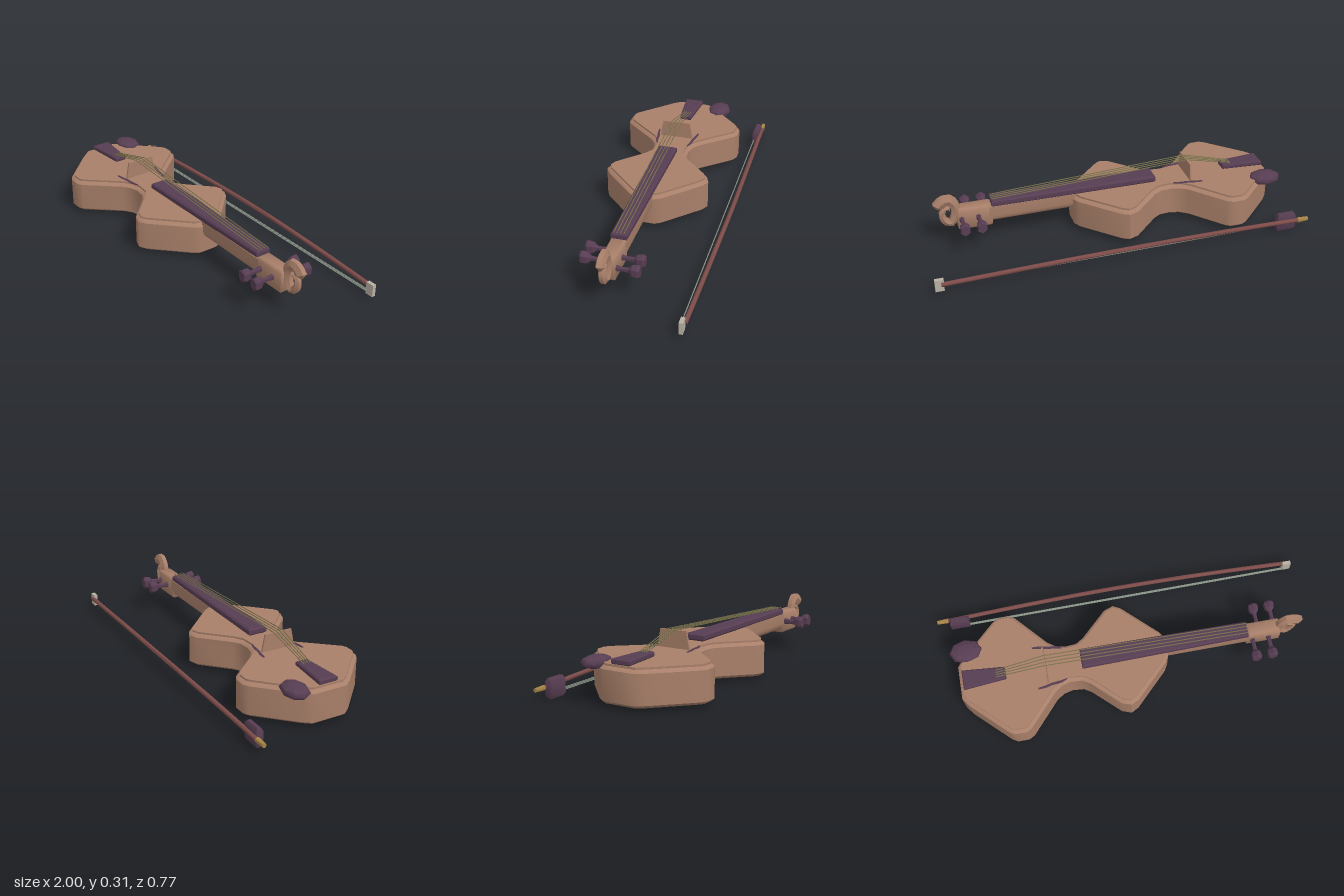
import * as THREE from 'three';
import { toCreasedNormals } from 'three/addons/utils/BufferGeometryUtils.js';

const mat = (name, color) => {
  const m = new THREE.MeshStandardMaterial({ color });
  m.name = name;
  return m;
};
const V = (x, y, z) => new THREE.Vector3(x, y, z);

export function createModel() {
  const wood = mat('wood', 0xa87f69);
  const ebony = mat('ebony', 0x573d52);
  const stickWood = mat('bow wood', 0x7d4c49);
  const stringMetal = mat('string', 0x77714a);
  const hairColour = mat('bow hair', 0x8a9488);
  const ivory = mat('ivory', 0xb9b0a3);
  const brass = mat('brass', 0xa58346);

  const model = new THREE.Group();
  model.name = 'violinAndBow';
  const violin = new THREE.Group();
  violin.name = 'violin';
  violin.position.z = 0.055;
  const bow = new THREE.Group();
  bow.name = 'bow';
  model.add(violin, bow);

  const add = (parent, name, geo, material, crease = 0.6) => {
    const mesh = new THREE.Mesh(toCreasedNormals(geo, crease), material);
    mesh.name = name;
    parent.add(mesh);
    return mesh;
  };
  // Straight round rod between two points
  const rod = (parent, name, a, b, r0, r1, material, sides = 6) => {
    const d = b.clone().sub(a);
    const mesh = add(parent, name, new THREE.CylinderGeometry(r1, r0, d.length(), sides), material, 1.1);
    mesh.position.copy(a).add(b).multiplyScalar(0.5);
    mesh.quaternion.setFromUnitVectors(V(0, 1, 0), d.normalize());
    return mesh;
  };
  // Slab from y0 to y1 with a plan shape given as [x, half width], mirrored in z
  const slab = (half, y0, y1, bevel, bevelHeight, inset = bevel) => {
    const pts = [...half, ...half.slice().reverse().map(([x, w]) => [x, -w])];
    const shape = new THREE.Shape(pts.map(([x, w]) => new THREE.Vector2(x, w)));
    const geo = new THREE.ExtrudeGeometry(shape, {
      depth: y1 - y0 - 2 * bevelHeight, bevelEnabled: true, bevelSegments: 1,
      bevelSize: bevel, bevelThickness: bevelHeight, bevelOffset: -inset,
    });
    return geo.rotateX(-Math.PI / 2).translate(0, y0 + bevelHeight, 0);
  };

  // Sound box and top plate
  const outline = [
    [-0.905, 0.09], [-0.87, 0.135], [-0.69, 0.31], [-0.66, 0.327], [-0.6, 0.327], [-0.57, 0.31],
    [-0.42, 0.14], [-0.38, 0.112], [-0.33, 0.1], [-0.27, 0.105], [-0.23, 0.13], [-0.09, 0.265],
    [-0.04, 0.283], [0.0, 0.262], [0.18, 0.085], [0.2, 0.05],
  ];
  add(violin, 'body', slab(outline, 0.02, 0.2, 0.018, 0.015), wood, 0.75);
  add(violin, 'topPlate', slab(outline, 0.198, 0.21, 0, 0.002, 0.018), wood);

  // Neck: half-round section swept along x
  const section = new THREE.Shape();
  section.moveTo(0.04, 0.213);
  section.lineTo(-0.04, 0.213);
  section.lineTo(-0.04, 0.16);
  section.quadraticCurveTo(-0.038, 0.12, 0, 0.118);
  section.quadraticCurveTo(0.038, 0.12, 0.04, 0.16);
  add(violin, 'neck', new THREE.ExtrudeGeometry(section, { depth: 0.46, bevelEnabled: false, curveSegments: 4 })
    .rotateY(Math.PI / 2).translate(0.19, 0, 0), wood, 0.9);
  add(violin, 'pegbox', slab([[0.635, 0.039], [0.815, 0.039]], 0.102, 0.225, 0.01, 0.012), wood, 0.9);

  add(violin, 'fingerboard', slab([[-0.26, 0.052], [0.635, 0.041]], 0.211, 0.248, 0.008, 0.008), ebony);
  add(violin, 'tailpiece', slab([[-0.885, 0.052], [-0.66, 0.032]], 0.209, 0.237, 0.006, 0.006), ebony);

  // Scroll: a tapering spiral tube
  const spiral = new THREE.CatmullRomCurve3([
    V(0.915, 0.225, 0), V(0.9, 0.255, 0), V(0.855, 0.276, 0), V(0.822, 0.24, 0), V(0.822, 0.18, 0),
    V(0.85, 0.135, 0), V(0.885, 0.165, 0), V(0.887, 0.21, 0), V(0.86, 0.228, 0), V(0.848, 0.205, 0),
  ]);
  const rings = 18, sides = 6;
  const scroll = new THREE.TubeGeometry(spiral, rings, 1, sides, false);
  const p = scroll.attributes.position;
  for (let i = 0; i <= rings; i++) {
    const c = spiral.getPointAt(i / rings);
    const r = i === 0 || i === rings ? 0.002 : 0.036 - 0.022 * i / rings;
    for (let j = 0; j <= sides; j++) {
      const k = i * (sides + 1) + j;
      p.setXYZ(k, c.x + (p.getX(k) - c.x) * r, c.y + (p.getY(k) - c.y) * r, p.getZ(k) * Math.min(r, 0.024));
    }
  }
  add(violin, 'scroll', scroll, wood, 0.7);

  // Tuning pegs, alternating sides
  const pegProfile = [[0, 0.02], [0.021, 0.02], [0.013, 0.07], [0.015, 0.1], [0.034, 0.118], [0.038, 0.145], [0.03, 0.155], [0, 0.155]];
  [[0.665, 1], [0.708, -1], [0.752, 1], [0.795, -1]].forEach(([x, s]) => {
    const geo = new THREE.LatheGeometry(pegProfile.map(([r, h]) => new THREE.Vector2(r, h)), 6);
    geo.rotateX(s * Math.PI / 2).scale(0.78, 1, 1);
    add(violin, 'tuningPeg', geo, ebony, 0.5).position.set(x, 0.168, 0);
  });

  // Bridge
  const bridge = new THREE.Shape([[-0.094, 0.208], [0.094, 0.208], [0.076, 0.302], [-0.076, 0.302]]
    .map(([z, y]) => new THREE.Vector2(z, y)));
  add(violin, 'bridge', new THREE.ExtrudeGeometry(bridge, { depth: 0.01, bevelEnabled: false })
    .rotateY(Math.PI / 2).translate(-0.455, 0, 0), wood);

  // Strings: tailpiece to bridge to nut
  for (let i = 0; i < 4; i++) {
    const k = (i - 1.5) / 1.5;
    const top = V(-0.45, 0.305, 0.028 * k);
    rod(violin, 'stringTail', V(-0.71, 0.238, 0.018 * k), top, 0.0025, 0.0025, stringMetal, 5);
    rod(violin, 'string', top, V(0.635, 0.253, 0.026 * k), 0.0025, 0.0025, stringMetal, 5);
  }

  // Sound holes as thin curved inlays
  for (const s of [1, -1]) {
    const lower = [[-0.505, 0.118], [-0.47, 0.117], [-0.43, 0.108], [-0.38, 0.103], [-0.35, 0.09]];
    const upper = lower.map(([x, z], i) => [x, z - [0.008, 0.012, 0.013, 0.012, 0.006][i]]).reverse();
    const shape = new THREE.Shape([...lower, ...upper].map(([x, z]) => new THREE.Vector2(x, s * z)));
    add(violin, 'soundHole', new THREE.ExtrudeGeometry(shape, { depth: 0.004, bevelEnabled: false })
      .rotateX(-Math.PI / 2).translate(0, 0.2095, 0), ebony);
  }

  // Chin rest
  const rest = add(violin, 'chinRest', new THREE.SphereGeometry(1, 8, 6), ebony, 0.5);
  rest.scale.set(0.09, 0.032, 0.066);
  rest.position.set(-0.85, 0.203, -0.163);

  // Bow stick, gently curved
  const arc = new THREE.CatmullRomCurve3([
    V(-0.95, 0.06, -0.361), V(-0.5, 0.075, -0.369), V(0, 0.081, -0.374), V(0.5, 0.073, -0.369), V(0.97, 0.057, -0.358),
  ]);
  add(bow, 'stick', new THREE.TubeGeometry(arc, 16, 0.012, 8), stickWood, 1);
  rod(bow, 'screw', V(-1, 0.06, -0.36), V(-0.94, 0.06, -0.361), 0.011, 0.014, brass, 8);

  // Frog: chamfered block, and the tip plate
  add(bow, 'frog', slab([[-0.93, 0.018], [-0.825, 0.018]], 0.002, 0.105, 0.009, 0.016), ebony).position.z = -0.341;
  add(bow, 'tipPlate', new THREE.BoxGeometry(0.045, 0.065, 0.02), ivory).position.set(0.9775, 0.05, -0.347);

  // Hair strands
  for (let i = 0; i < 3; i++) {
    const y = 0.031 + 0.005 * i, z = -0.328 - 0.002 * i;
    rod(bow, 'hair', V(-0.84, y, z), V(0.96, y + 0.004, z - 0.006), 0.0025, 0.0025, hairColour, 5);
  }
  return model;
}
